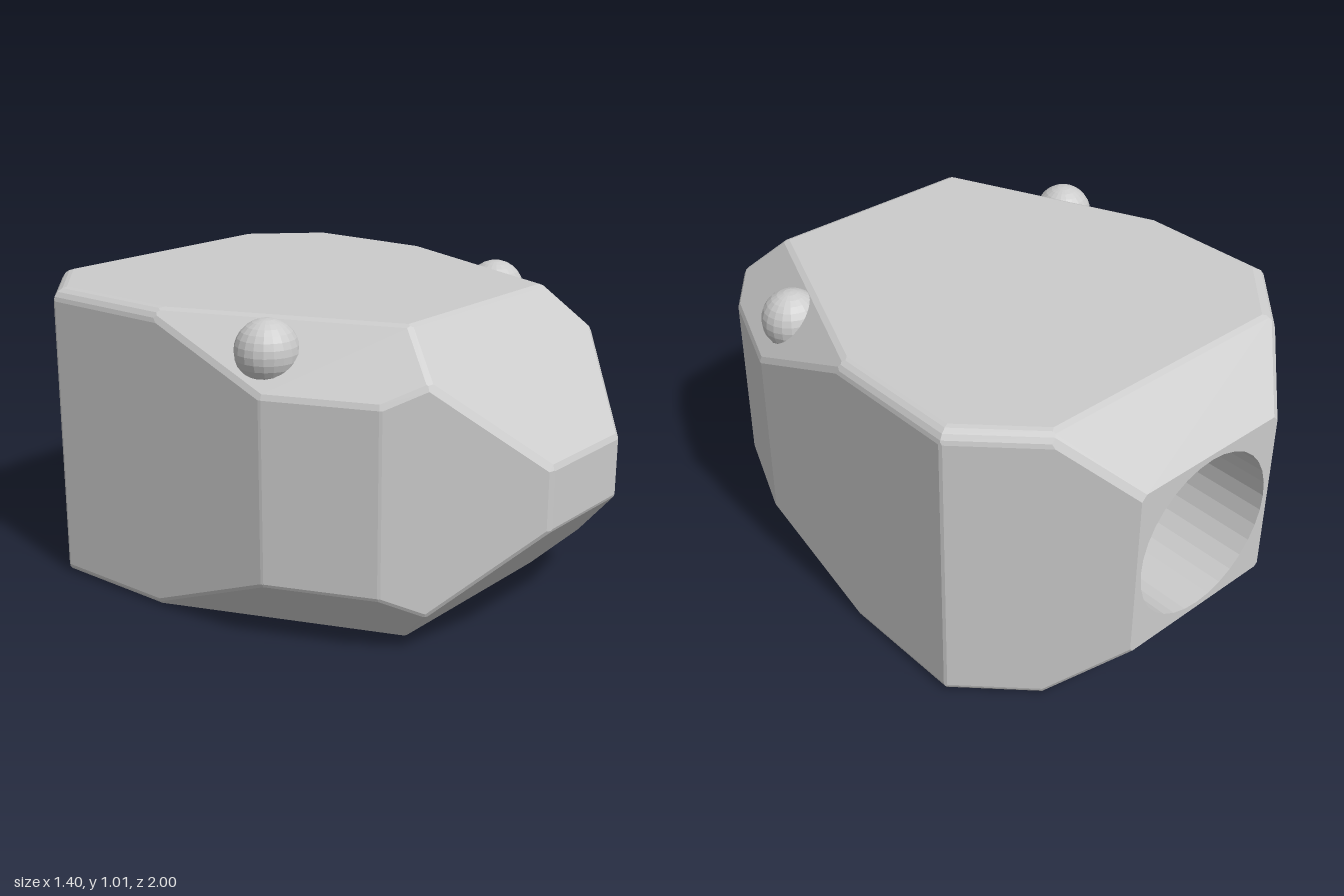
import * as THREE from 'three';

const V = (x, y, z) => new THREE.Vector3(x, y, z);
const HOLE = { y: 0.5, radius: 0.28, depth: 0.8, sides: 32 };

// Plane through point p with outward normal n
const cut = (n, p) => ({ n: n.clone().normalize(), d: n.clone().normalize().dot(p) });

// The flat cuts that bound the body
function bodyPlanes() {
  const planes = [
    cut(V(0, 0, -1), V(0, 0, -1)), // back, kept first: it carries the hole
    cut(V(0, 0, 1), V(0, 0, 1)),
    cut(V(0, 1, 0), V(0, 1, 0)),
    cut(V(0, -1, 0), V(0, 0, 0)),
  ];
  for (const t of [1, -1]) {
    planes.push(cut(V(0, t, 1), V(0, 0.5 + 0.1 * t, 1))); // nose slopes
    planes.push(cut(V(0, t, -1), V(0, 0.5 + 0.3 * t, -1))); // back slopes
  }
  for (const s of [1, -1]) {
    planes.push(cut(V(s, 0, 0), V(0.7 * s, 0, 0)));
    planes.push(cut(V(s, 0, 1), V(0.2 * s, 0, 1)));
    planes.push(cut(V(s, 0, -1), V(0.3 * s, 0, -1)));
    planes.push(cut(V(0.34 * s, 0, 0.14), V(0.7 * s, 0, 0.3)));
    for (const t of [1, -1]) // cheek facets, above and below
      planes.push(cut(V(0.34 * s, 0.35 * t, 0.14), V(0.7 * s, 0.5 + 0.3 * t, 0.3)));
  }
  return planes;
}

// Corners of the convex solid: where three planes meet inside all others
function corners(planes) {
  const points = [];
  const bc = V(0, 0, 0), ca = V(0, 0, 0), ab = V(0, 0, 0), p = V(0, 0, 0);
  for (let i = 0; i < planes.length; i++)
    for (let j = i + 1; j < planes.length; j++) {
      const a = planes[i], b = planes[j];
      ab.crossVectors(a.n, b.n);
      for (let k = j + 1; k < planes.length; k++) {
        const c = planes[k], det = ab.dot(c.n);
        if (Math.abs(det) < 1e-5) continue;
        bc.crossVectors(b.n, c.n);
        ca.crossVectors(c.n, a.n);
        p.set(0, 0, 0).addScaledVector(bc, a.d).addScaledVector(ca, b.d)
          .addScaledVector(ab, c.d).divideScalar(det);
        if (planes.some((q) => q.n.dot(p) > q.d + 1e-6)) continue;
        if (!points.some((q) => q.distanceTo(p) < 1e-4)) points.push(p.clone());
      }
    }
  return points;
}

const onPlane = (q, points) => points.filter((p) => Math.abs(q.n.dot(p) - q.d) < 1e-5);

// Narrow facets that round every edge except those of the back face
function roundedEdges(planes) {
  const points = corners(planes), bevels = [];
  for (let i = 1; i < planes.length; i++)
    for (let j = i + 1; j < planes.length; j++) {
      const a = planes[i], b = planes[j];
      const edge = onPlane(b, onPlane(a, points));
      if (edge.length < 2) continue;
      const r = (edge[0].y + edge[1].y) / 2 > 0.5 ? 0.05 : 0.03;
      const cos = a.n.dot(b.n);
      const centre = edge[0].clone()
        .addScaledVector(a.n.clone().add(b.n), -r / (1 + cos));
      const steps = cos < 0.3 ? [0.2, 0.4, 0.6, 0.8] : [0.5];
      for (const t of steps) {
        const n = a.n.clone().lerp(b.n, t).normalize();
        bevels.push({ n, d: n.dot(centre) + r });
      }
    }
  return bevels;
}

// Corners of one face, in order around its outward normal
function faceLoop(plane, points) {
  const loop = onPlane(plane, points);
  if (loop.length < 3) return [];
  const mid = loop.reduce((m, p) => m.add(p), V(0, 0, 0)).divideScalar(loop.length);
  const u = Math.abs(plane.n.y) < 0.9 ? V(0, 1, 0) : V(1, 0, 0);
  u.cross(plane.n).normalize();
  const v = plane.n.clone().cross(u);
  const angle = (p) => {
    const q = p.clone().sub(mid);
    return Math.atan2(q.dot(v), q.dot(u));
  };
  return loop.sort((p, q) => angle(p) - angle(q));
}

export function createModel() {
  const model = new THREE.Group();
  const grey = new THREE.MeshStandardMaterial({ color: 0xcccccc, flatShading: true });
  const inner = grey.clone();
  inner.side = THREE.DoubleSide;
  const add = (name, geometry, material = grey) => {
    const mesh = new THREE.Mesh(geometry, material);
    mesh.name = name;
    model.add(mesh);
    return mesh;
  };

  // Faceted body
  const base = bodyPlanes();
  const planes = [...base, ...roundedEdges(base)];
  const points = corners(planes);
  const positions = [];
  for (const plane of planes.slice(1)) {
    const loop = faceLoop(plane, points);
    for (let i = 1; i + 1 < loop.length; i++)
      for (const p of [loop[0], loop[i], loop[i + 1]]) positions.push(p.x, p.y, p.z);
  }
  const body = new THREE.BufferGeometry();
  body.setAttribute('position', new THREE.Float32BufferAttribute(positions, 3));
  body.computeVertexNormals();
  add('body', body);

  // Back face with the round socket opening, turned to face -z
  const outline = faceLoop(planes[0], points).map((p) => new THREE.Vector2(-p.x, p.y));
  const shape = new THREE.Shape(outline);
  shape.holes.push(new THREE.Path().absarc(0, HOLE.y, HOLE.radius, 0, Math.PI * 2, true));
  const back = new THREE.ShapeGeometry(shape, HOLE.sides / 2);
  back.rotateY(Math.PI).translate(0, 0, -1);
  add('backFace', back);

  // Socket wall and floor
  const wall = new THREE.CylinderGeometry(
    HOLE.radius, HOLE.radius, HOLE.depth, HOLE.sides, 1, true);
  wall.rotateX(Math.PI / 2).translate(0, HOLE.y, HOLE.depth / 2 - 1);
  add('socketWall', wall, inner);
  const floor = new THREE.CircleGeometry(HOLE.radius, HOLE.sides);
  floor.translate(0, HOLE.y, HOLE.depth - 1);
  add('socketFloor', floor, inner);

  // Eyes, half sunk into the upper cheek facets
  const eye = new THREE.SphereGeometry(0.1, 20, 14);
  add('leftEye', eye).position.set(0.572, 0.91, 0.285);
  add('rightEye', eye).position.set(-0.602, 0.91, 0.247);
  return model;
}
